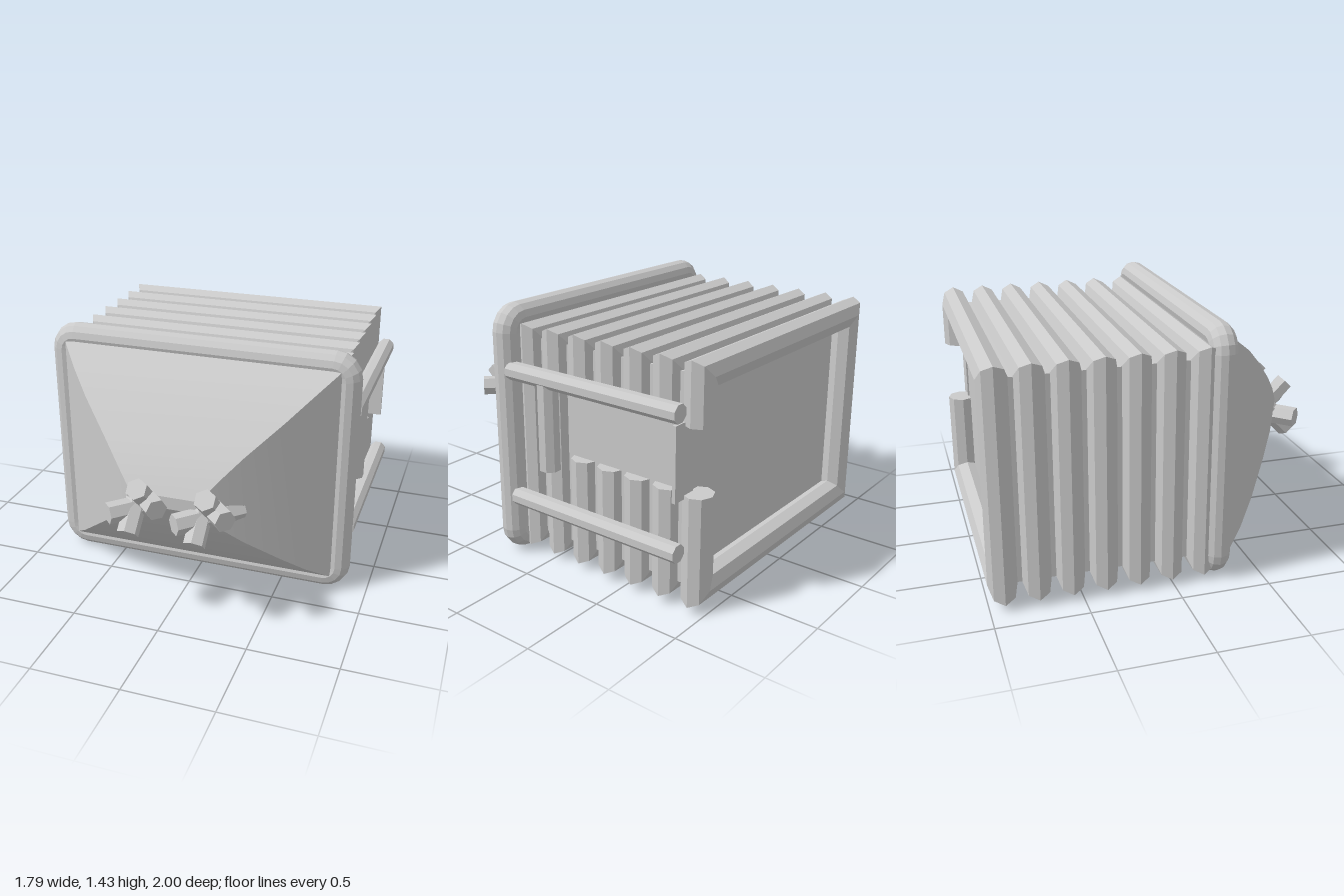
import * as THREE from 'three';

// Sweep an elliptical section along a path in the xy plane (counter-clockwise), with mitred corners
function sweep(path, closed, z, rOut, rZ, sides) {
  const n = path.length, pos = [], idx = [];
  const normal = (a, b) => new THREE.Vector2(b.y - a.y, a.x - b.x).normalize();
  for (let i = 0; i < n; i++) {
    const p = path[i];
    const prev = closed || i > 0 ? normal(path[(i + n - 1) % n], p) : null;
    const next = closed || i < n - 1 ? normal(p, path[(i + 1) % n]) : null;
    const a = prev || next, b = next || prev;
    const m = a.clone().add(b).divideScalar(1 + a.dot(b));
    for (let j = 0; j < sides; j++) {
      const t = (j / sides) * Math.PI * 2, c = Math.cos(t) * rOut;
      pos.push(p.x + m.x * c, p.y + m.y * c, z + Math.sin(t) * rZ);
    }
  }
  for (let i = 0; i < (closed ? n : n - 1); i++) {
    const k = ((i + 1) % n) * sides;
    for (let j = 0; j < sides; j++) {
      const a = i * sides + j, b = k + j, j1 = (j + 1) % sides;
      idx.push(a, b, k + j1, a, k + j1, i * sides + j1);
    }
  }
  if (!closed) {
    const e = (n - 1) * sides;
    for (let j = 1; j < sides - 1; j++) idx.push(0, j, j + 1, e, e + j + 1, e + j);
  }
  const g = new THREE.BufferGeometry();
  g.setAttribute('position', new THREE.Float32BufferAttribute(pos, 3));
  g.setIndex(idx);
  const flat = g.toNonIndexed();
  flat.computeVertexNormals();
  return flat;
}

// Four curved sides narrowing to a small front face; rows are [z, halfWidth, halfHeight]
function hood(rows, cy) {
  const pos = [], idx = [];
  const corners = [[1, -1], [1, 1], [-1, 1], [-1, -1]];
  for (let s = 0; s < 4; s++) {
    const start = pos.length / 3;
    for (const [z, hx, hy] of rows)
      for (const [sx, sy] of [corners[s], corners[(s + 1) % 4]]) pos.push(sx * hx, cy + sy * hy, z);
    for (let i = 0; i < rows.length - 1; i++) {
      const a = start + i * 2;
      idx.push(a, a + 1, a + 3, a, a + 3, a + 2);
    }
  }
  const [z, hx, hy] = rows[rows.length - 1], t = pos.length / 3;
  for (const [sx, sy] of corners) pos.push(sx * hx, cy + sy * hy, z);
  idx.push(t, t + 1, t + 2, t, t + 2, t + 3);
  const g = new THREE.BufferGeometry();
  g.setAttribute('position', new THREE.Float32BufferAttribute(pos, 3));
  g.setIndex(idx);
  g.computeVertexNormals();
  return g;
}

export function createModel() {
  const model = new THREE.Group();
  const grey = new THREE.MeshStandardMaterial({ color: 0xcacaca });
  grey.name = 'grey';
  const add = (name, geometry, parent = model) => {
    const mesh = new THREE.Mesh(geometry, grey);
    mesh.name = name;
    parent.add(mesh);
    return mesh;
  };
  const box = (name, x0, x1, y0, y1, z0, z1) =>
    add(name, new THREE.BoxGeometry(x1 - x0, y1 - y0, z1 - z0))
      .position.set((x0 + x1) / 2, (y0 + y1) / 2, (z0 + z1) / 2);
  // Straight faceted rod between two points, its section turned by spin
  const rod = (name, a, b, r, sides, spin, parent) => {
    const from = new THREE.Vector3(...a), dir = new THREE.Vector3(...b).sub(from);
    const g = new THREE.CylinderGeometry(r, r, dir.length(), sides).toNonIndexed();
    g.rotateY(spin);
    g.computeVertexNormals();
    const mesh = add(name, g, parent);
    mesh.position.copy(from).addScaledVector(dir, 0.5);
    mesh.quaternion.setFromUnitVectors(new THREE.Vector3(0, 1, 0), dir.normalize());
  };
  const v = (x, y) => new THREE.Vector2(x, y);

  // Inner body, and the back panel's tab that sticks out through the side opening
  box('body', -0.79, 0.725, 0.12, 1.25, -0.87, 0.25);
  box('backPanelTab', 0.7, 0.85, 0.62, 1.02, -0.88, -0.86);

  // Ribs around the body; all but the front two are cut away at the side opening
  const ribPath = [v(0.708, 1.25), v(-0.785, 1.25), v(-0.785, 0.122), v(0.708, 0.122)];
  for (let k = 0; k < 7; k++) {
    const cut = k > 1;
    const path = cut ? [v(0.708, 1.0), ...ribPath, v(0.708, 0.64)] : ribPath;
    add('rib', sweep(path, !cut, 0.172 - k * 0.182, 0.085, 0.08, 8));
  }

  // Rounded rim
  const rim = [], r = 0.075;
  [[1, -1], [1, 1], [-1, 1], [-1, -1]].forEach(([sx, sy], q) => {
    for (let i = 0; i <= 4; i++) {
      const a = (q - 1 + i / 4) * Math.PI / 2;
      rim.push(v(sx * (0.82 - r) + r * Math.cos(a), 0.717 + sy * (0.642 - r) + r * Math.sin(a)));
    }
  });
  add('rim', sweep(rim, true, 0.257, 0.075, 0.075, 12));

  // Curved front hood
  add('hood', hood([[0.28, 0.83, 0.66], [0.34, 0.785, 0.615], [0.46, 0.68, 0.52], [0.57, 0.565, 0.41],
    [0.714, 0.39, 0.25], [0.8, 0.28, 0.137], [0.862, 0.19, 0.035]], 0.717));

  // Side rails and upright
  const half = Math.PI / 8;
  rod('upperRail', [0.845, 1.085, 0.21], [0.845, 1.085, -0.9], 0.051, 8, half);
  rod('lowerRail', [0.845, 0.357, 0.2], [0.845, 0.357, -0.9], 0.051, 8, half);
  rod('upright', [0.83, 0.575, -0.04], [0.83, 1.085, -0.04], 0.06, 8, half);

  // Star-shaped front fittings made of crossed hexagonal rods
  for (const cx of [-0.14, 0.23]) {
    const star = new THREE.Group();
    star.name = 'frontStar';
    star.position.set(cx, 0.688, 0.82);
    model.add(star);
    const d = 0.139;
    for (const s of [1, -1]) {
      rod('starRod', [s * 0.03, -s * d, -d], [s * 0.03, s * d, d], 0.059, 6, 0, star);
      rod('starRod', [-s * d, s * 0.035, -d], [s * d, s * 0.035, d], 0.059, 6, s * Math.PI / 12, star);
    }
  }
  return model;
}
